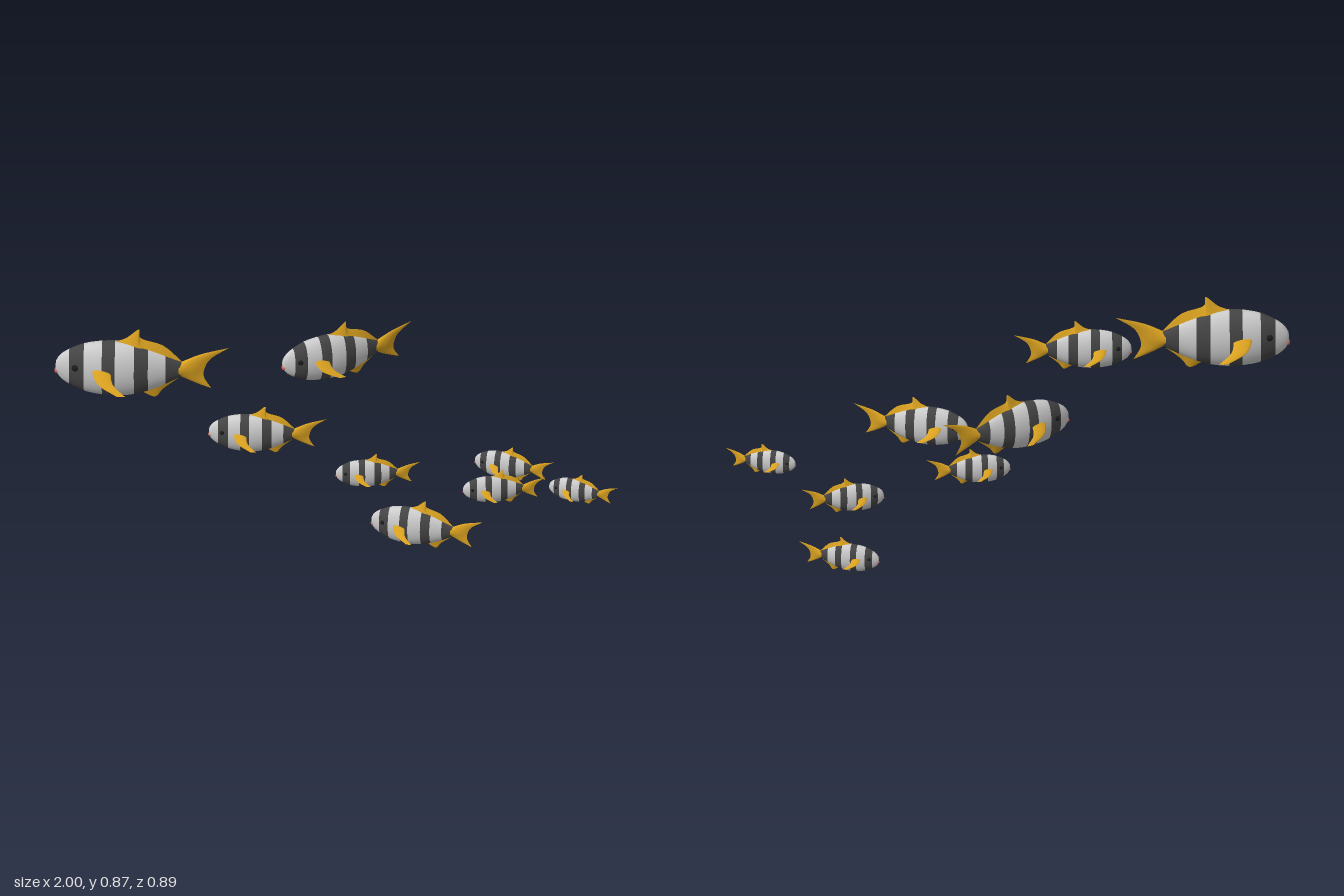
import * as THREE from 'three';

const make = (name, color, side = THREE.FrontSide) => {
  const m = new THREE.MeshStandardMaterial({ color, side });
  m.name = name;
  return m;
};

// Each fish: snout x,z / tail tip x,z / height of axis / sideways bow of the spine
const SCHOOL = [
  [-1.0, -0.175, -0.38, -0.065, 0.706, 0.05],
  [-0.48, 0.125, -0.06, 0.2, 0.567, 0.05],
  [-0.15, -0.32, 0.34, -0.44, 0.551, 0.07],
  [0.01, -0.062, 0.315, -0.03, 0.231, 0],
  [0.095, 0.27, 0.48, 0.44, 0.23, -0.03],
  [0.47, -0.025, 0.77, 0.0, 0.146, 0],
  [0.56, -0.362, 0.83, -0.235, 0.06, 0],
  [0.765, 0.125, 1.0, 0.235, 0.23, 0],
];

// Body profile: station along the axis, half height, half width
const PROFILE = [
  [0, 0.001, 0.001], [0.004, 0.035, 0.016], [0.035, 0.083, 0.034], [0.12, 0.136, 0.064],
  [0.2, 0.163, 0.082], [0.32, 0.178, 0.094], [0.42, 0.172, 0.09], [0.5, 0.154, 0.078],
  [0.6, 0.115, 0.055], [0.7, 0.062, 0.03], [0.75, 0.038, 0.018], [0.78, 0.001, 0.001],
];
const BANDS = [[0.08, 0.165], [0.27, 0.345], [0.455, 0.535], [0.635, 0.78]];

function sizeAt(s) {
  let i = 0;
  while (i < PROFILE.length - 2 && PROFILE[i + 1][0] < s) i++;
  const p = k => PROFILE[Math.max(0, Math.min(PROFILE.length - 1, k))];
  const [a, b] = [p(i), p(i + 1)], t = (s - a[0]) / (b[0] - a[0]);
  // Cubic Hermite between stations, straight at the blunt ends
  return [1, 2].map(c => {
    if (i === 0 || i >= PROFILE.length - 3) return a[c] + (b[c] - a[c]) * t;
    const d = b[0] - a[0];
    const ma = (b[c] - p(i - 1)[c]) / (b[0] - p(i - 1)[0]) * d;
    const mb = (p(i + 2)[c] - a[c]) / (p(i + 2)[0] - a[0]) * d;
    const t2 = t * t, t3 = t2 * t;
    return (2 * t3 - 3 * t2 + 1) * a[c] + (t3 - 2 * t2 + t) * ma
      + (3 * t2 - 2 * t3) * b[c] + (t3 - t2) * mb;
  });
}

// Oval rings along the axis, grouped into light and dark bands
function bodyGeometry() {
  const N = 28, set = new Set([...PROFILE.map(p => p[0]), ...BANDS.flat(), 0.015]);
  for (let s = 0.06; s < 0.74; s += 0.04) set.add(+s.toFixed(3));
  const st = [...set].sort((a, b) => a - b), pos = [], idx = [];
  const g = new THREE.BufferGeometry();
  st.forEach((s, i) => {
    const [h, w] = sizeAt(s);
    for (let k = 0; k < N; k++) {
      const a = k / N * Math.PI * 2;
      pos.push(s, h * Math.cos(a), w * Math.sin(a));
    }
    if (i === st.length - 1) return;
    const mid = (s + st[i + 1]) / 2;
    g.addGroup(idx.length, N * 6, BANDS.some(b => mid > b[0] && mid < b[1]) ? 1 : 0);
    for (let k = 0; k < N; k++) {
      const a = i * N + k, b = i * N + (k + 1) % N;
      idx.push(a, b, a + N, b, b + N, a + N);
    }
  });
  g.setAttribute('position', new THREE.Float32BufferAttribute(pos, 3));
  g.setIndex(idx);
  return g;
}

// Fin lofted through rows of points from root to rim, thick at the root and thin at the rim
function finGeometry(rows, thick, dir = [0, 0, 1]) {
  const U = 24, V = 8, pos = [], idx = [], n = new THREE.Vector3(...dir).normalize();
  const curve = pts => new THREE.CatmullRomCurve3(pts.map(p => new THREE.Vector3(p[0], p[1], p[2] ?? 0)));
  const curves = rows.map(curve);
  for (const side of [1, -1]) {
    const base = pos.length / 3;
    for (let i = 0; i <= U; i++) {
      const u = i / U, across = new THREE.CatmullRomCurve3(curves.map(c => c.getPoint(u)));
      for (let j = 0; j <= V; j++) {
        const v = j / V, t = side * thick * (1 - v) * Math.sqrt(Math.max(0, Math.sin(Math.PI * u)));
        const p = across.getPoint(v).addScaledVector(n, t);
        pos.push(p.x, p.y, p.z);
        if (i === U || j === V) continue;
        const a = base + i * (V + 1) + j, b = a + V + 1;
        if (side > 0) idx.push(a, b, a + 1, b, b + 1, a + 1);
        else idx.push(a, a + 1, b, b, a + 1, b + 1);
      }
    }
  }
  const g = new THREE.BufferGeometry();
  g.setAttribute('position', new THREE.Float32BufferAttribute(pos, 3));
  g.setIndex(idx);
  return g;
}

const ellipsoid = (x, y, z, rx, ry, rz) =>
  new THREE.SphereGeometry(1, 14, 10).scale(rx, ry, rz).translate(x, y, z);

// Curve the spine sideways, keeping snout and tail tip in place
function bend(g, k) {
  const p = g.attributes.position;
  for (let i = 0; i < p.count; i++) {
    const s = p.getX(i);
    p.setZ(i, p.getZ(i) + k * s * (1 - s));
  }
  g.computeVertexNormals();
  return g;
}

function createFish(bow, mats) {
  const fish = new THREE.Group();
  const add = (name, g, mat) => {
    const m = new THREE.Mesh(bend(g, bow), mat);
    m.name = name;
    fish.add(m);
  };
  add('stripedBody', bodyGeometry(), [mats.light, mats.dark]);
  add('dorsalFin', finGeometry([
    [[0.33, 0.15], [0.4, 0.15], [0.46, 0.14], [0.5, 0.13], [0.61, 0.08], [0.73, 0.01]],
    [[0.34, 0.176], [0.41, 0.205], [0.483, 0.263], [0.487, 0.21], [0.62, 0.158], [0.74, 0.04]],
  ], 0.034), mats.fin);
  add('analFin', finGeometry([
    [[0.49, -0.13], [0.54, -0.11], [0.6, -0.085], [0.73, -0.01]],
    [[0.5, -0.155], [0.575, -0.187], [0.62, -0.135], [0.74, -0.035]],
  ], 0.026), mats.fin);
  add('tailFin', finGeometry([
    [[0.71, 0.04], [0.71, 0.02], [0.71, 0], [0.71, -0.02], [0.71, -0.04]],
    [[0.83, 0.098], [0.81, 0.045], [0.8, 0], [0.79, -0.04], [0.795, -0.085]],
    [[1, 0.144], [0.89, 0.065], [0.858, 0], [0.855, -0.05], [0.897, -0.127]],
  ], 0.03), mats.fin);
  // Swept side fins and eyes, mirrored
  for (const m of [1, -1]) {
    add(m > 0 ? 'leftSideFin' : 'rightSideFin', finGeometry([
      [[0.21, 0.03, 0.07 * m], [0.26, 0.03, 0.07 * m], [0.32, 0.03, 0.07 * m]],
      [[0.245, -0.03, 0.135 * m], [0.285, -0.03, 0.135 * m], [0.335, -0.03, 0.135 * m]],
      [[0.36, -0.08, 0.188 * m], [0.385, -0.08, 0.19 * m], [0.41, -0.08, 0.188 * m]],
    ], 0.014, [0, 0.115, 0.11 * m]), mats.fin);
    add(m > 0 ? 'leftEye' : 'rightEye', ellipsoid(0.115, 0.025, 0.06 * m, 0.02, 0.02, 0.013), mats.eye);
  }
  add('mouth', ellipsoid(0.008, -0.03, 0, 0.014, 0.016, 0.022), mats.mouth);
  return fish;
}

export function createModel() {
  const mats = {
    light: make('paleScales', 0xcccccc),
    dark: make('darkScales', 0x444444),
    fin: make('goldenFin', 0xdca320, THREE.DoubleSide),
    eye: make('eyeBlack', 0x1c1c1c),
    mouth: make('mouthRed', 0xcc6655),
  };
  const school = new THREE.Group();
  school.name = 'schoolOfFish';
  SCHOOL.forEach(([x0, z0, x1, z1, y, bow], i) => {
    const fish = createFish(bow, mats);
    fish.name = 'fish' + (i + 1);
    fish.position.set(x0, y, z0);
    fish.rotation.y = -Math.atan2(z1 - z0, x1 - x0);
    fish.scale.setScalar(Math.hypot(x1 - x0, z1 - z0));
    school.add(fish);
  });
  return school;
}
